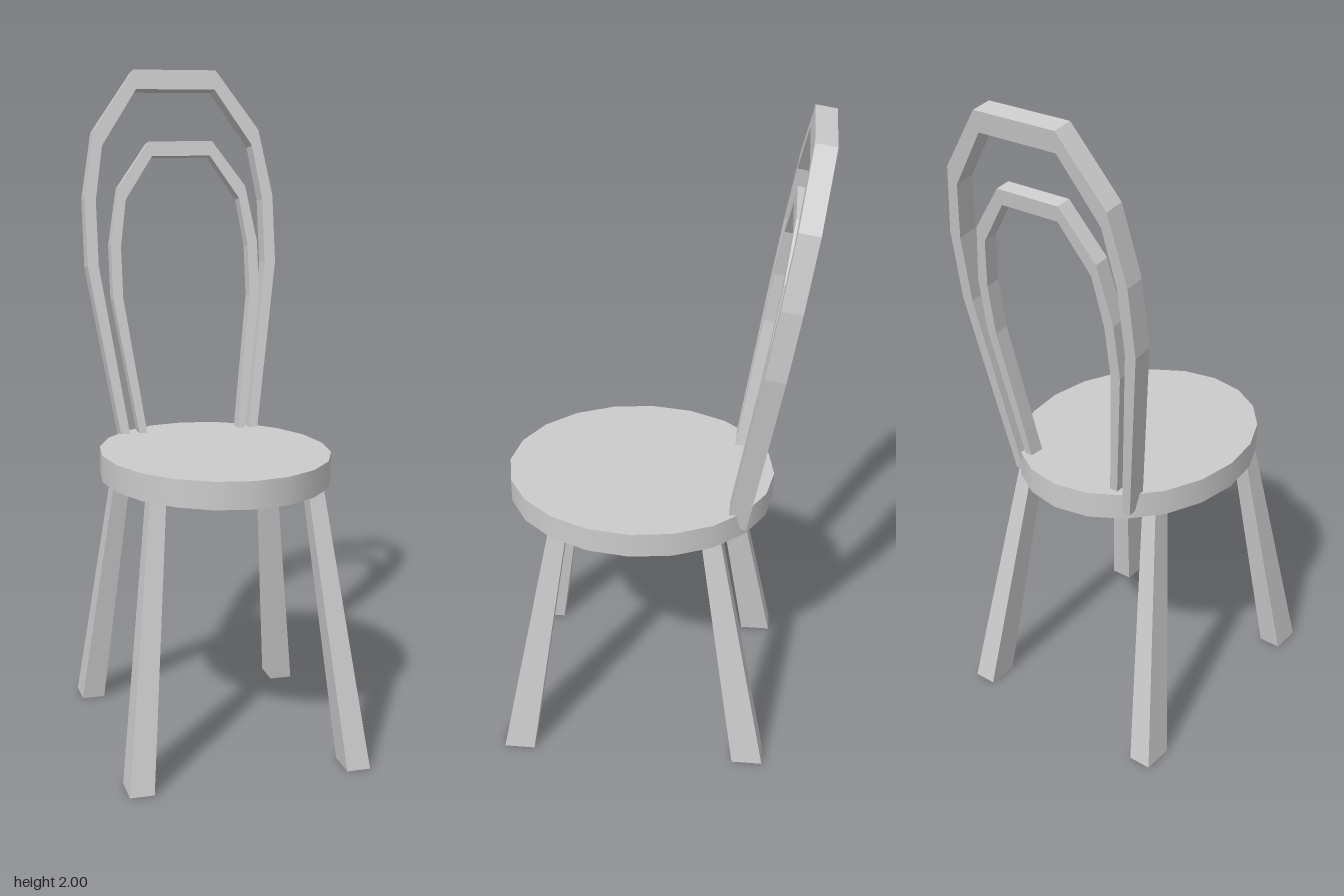
import * as THREE from 'three';

const material = new THREE.MeshStandardMaterial({ color: 0xcccccc });

function addMesh(group, name, geometry) {
  const mesh = new THREE.Mesh(geometry, material);
  mesh.name = name;
  group.add(mesh);
  return mesh;
}

// Splayed leg: a box whose ends are moved and resized. Ends are [x, z, width, depth].
function legGeometry(bottom, top, height) {
  const geometry = new THREE.BoxGeometry(1, 1, 1);
  const p = geometry.attributes.position;
  for (let i = 0; i < p.count; i++) {
    const [x, z, w, d] = p.getY(i) > 0 ? top : bottom;
    p.setXYZ(i, x + p.getX(i) * w, p.getY(i) > 0 ? height : 0, z + p.getZ(i) * d);
  }
  geometry.computeVertexNormals();
  return geometry;
}

// Bent hoop: half outlines [x, y] from foot to crown, mirrored and extruded.
const TILT = 0.16, BASE_Y = 0.83, BASE_Z = -0.217;
function hoopGeometry(outer, inner, depth) {
  const side = (pts, s) => pts.map(([x, y]) => new THREE.Vector2(s * x, (y - BASE_Y) / Math.cos(TILT)));
  const outline = [
    ...side(outer, 1), ...side(outer, -1).reverse(),
    ...side(inner, -1), ...side(inner, 1).reverse(),
  ];
  const geometry = new THREE.ExtrudeGeometry(new THREE.Shape(outline), { depth, bevelEnabled: false });
  return geometry.translate(0, 0, -depth);
}

export function createModel() {
  const chair = new THREE.Group();
  chair.name = 'chair';

  // Oval seat
  const seat = addMesh(chair, 'seat', new THREE.CylinderGeometry(1, 1, 0.08, 20));
  seat.scale.set(0.34, 1, 0.405);
  seat.position.set(0, 0.84, 0.055);

  // Four tapered legs, ending inside the seat
  for (const s of [1, -1]) {
    const side = s > 0 ? 'Left' : 'Right';
    addMesh(chair, 'front' + side + 'Leg',
      legGeometry([s * 0.32, 0.417, 0.07, 0.095], [s * 0.23, 0.275, 0.047, 0.053], 0.83));
    addMesh(chair, 'back' + side + 'Leg',
      legGeometry([s * 0.32, -0.312, 0.07, 0.095], [s * 0.23, -0.172, 0.047, 0.057], 0.83));
  }

  // Two nested hoops leaning backwards
  const back = new THREE.Group();
  back.name = 'backrest';
  back.position.set(0, BASE_Y, BASE_Z);
  back.rotation.x = -TILT;
  chair.add(back);

  const outerHoop = addMesh(back, 'outerHoop', hoopGeometry(
    [[0.215, 0.83], [0.305, 1.4], [0.305, 1.61], [0.267, 1.815], [0.133, 2]],
    [[0.187, 0.83], [0.27, 1.4], [0.27, 1.6], [0.243, 1.767], [0.127, 1.94]], 0.06));
  outerHoop.position.x = -0.003;

  const innerHoop = addMesh(back, 'innerHoop', hoopGeometry(
    [[0.165, 0.83], [0.238, 1.3], [0.238, 1.465], [0.206, 1.64], [0.103, 1.78]],
    [[0.141, 0.83], [0.206, 1.3], [0.206, 1.455], [0.184, 1.602], [0.094, 1.735]], 0.045));
  innerHoop.position.x = 0.006;

  return chair;
}
